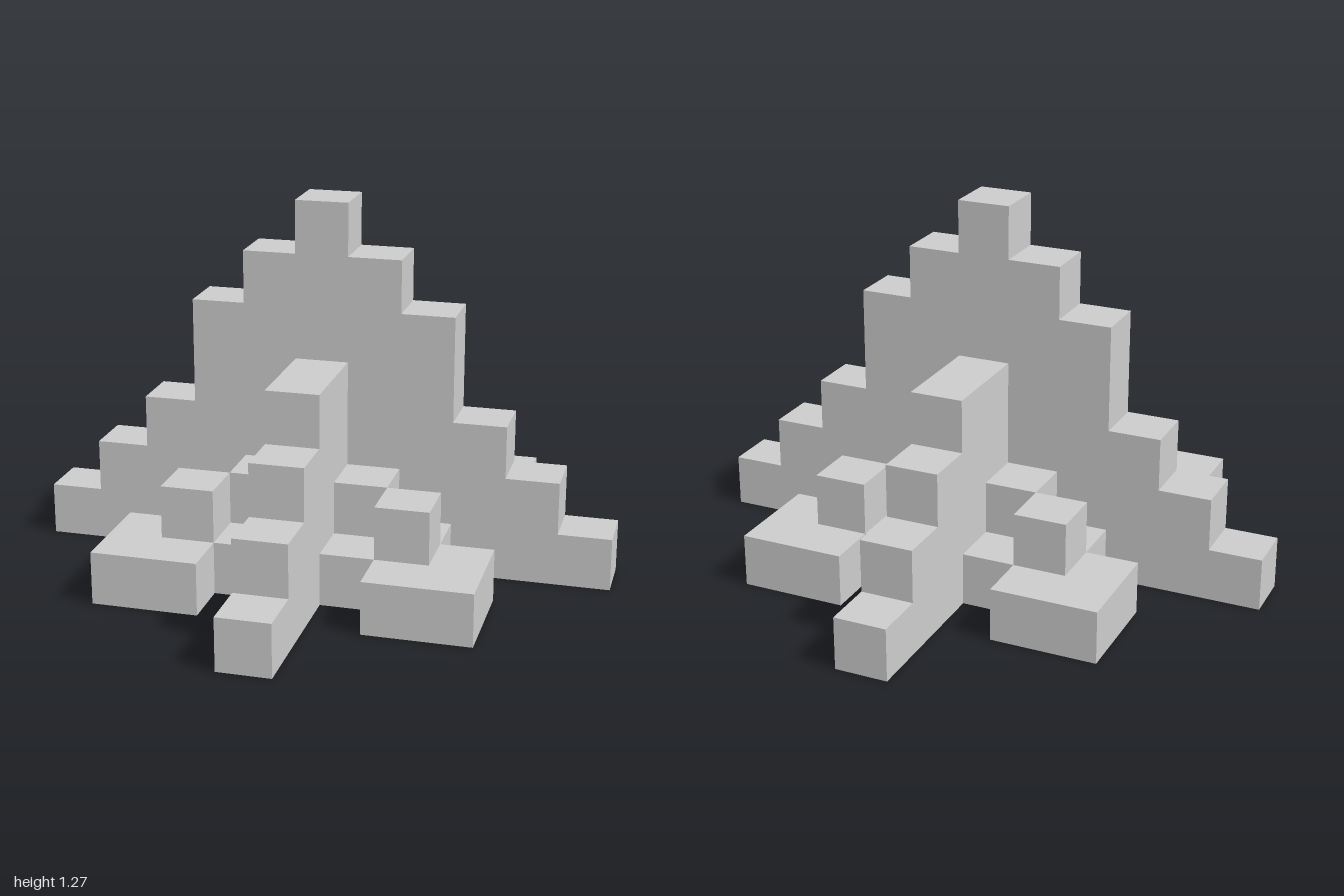
import * as THREE from 'three';

const U = 2 / 11; // one block
const material = new THREE.MeshStandardMaterial({ color: 0xcccccc, flatShading: true });

function extrude(points, depth) {
  const shape = new THREE.Shape(points.map(([x, y]) => new THREE.Vector2(x * U, y * U)));
  return new THREE.ExtrudeGeometry(shape, { depth: depth * U, bevelEnabled: false });
}

// Staircase edge climbing inwards, one half-width per layer, starting on top of the base
function stairs(halfWidths) {
  return halfWidths.flatMap((w, i) => [[w, i + 1], [w, i + 2]]);
}

export function createModel() {
  const model = new THREE.Group();
  const add = (name, geometry) => {
    const mesh = new THREE.Mesh(geometry, material);
    mesh.name = name;
    model.add(mesh);
    return mesh;
  };

  // Base layer: square centre, four arms and four corner pads, one quadrant turned four times
  const quadrant = [
    [5.5, 0.5], [2.5, 0.5], [2.5, 1.5], [3.5, 1.5], [3.5, 3.5],
    [1.5, 3.5], [1.5, 2.5], [0.5, 2.5], [0.5, 5.5],
  ];
  const plan = [];
  let turned = quadrant;
  for (let i = 0; i < 4; i++) {
    plan.push(...turned);
    turned = turned.map(([x, y]) => [-y, x]);
  }
  add('base', extrude(plan, 1).rotateX(-Math.PI / 2));

  // Tall stepped wall running left to right
  const side = stairs([4.5, 3.5, 2.5, 2.5, 1.5, 0.5]);
  const wall = [...side, ...side.map(([x, y]) => [-x, y]).reverse()];
  add('mainWall', extrude(wall, 1).translate(0, 0, -U / 2));

  // Lower stepped wings at front and back
  const wing = [[0.5, 1], ...stairs([4.5, 3.5, 2.5]), [0.5, 4]];
  for (const [name, angle] of [['frontWing', -Math.PI / 2], ['backWing', Math.PI / 2]]) {
    add(name, extrude(wing, 1).translate(0, 0, -U / 2).rotateY(angle));
  }

  // Single blocks in the inner corners and on the corner pads
  for (const sx of [-1, 1]) {
    for (const sz of [-1, 1]) {
      for (const [name, d] of [['innerBlock', 1], ['padBlock', 2]]) {
        add(name, new THREE.BoxGeometry(U, U, U)).position.set(sx * d * U, 1.5 * U, sz * d * U);
      }
    }
  }
  return model;
}
